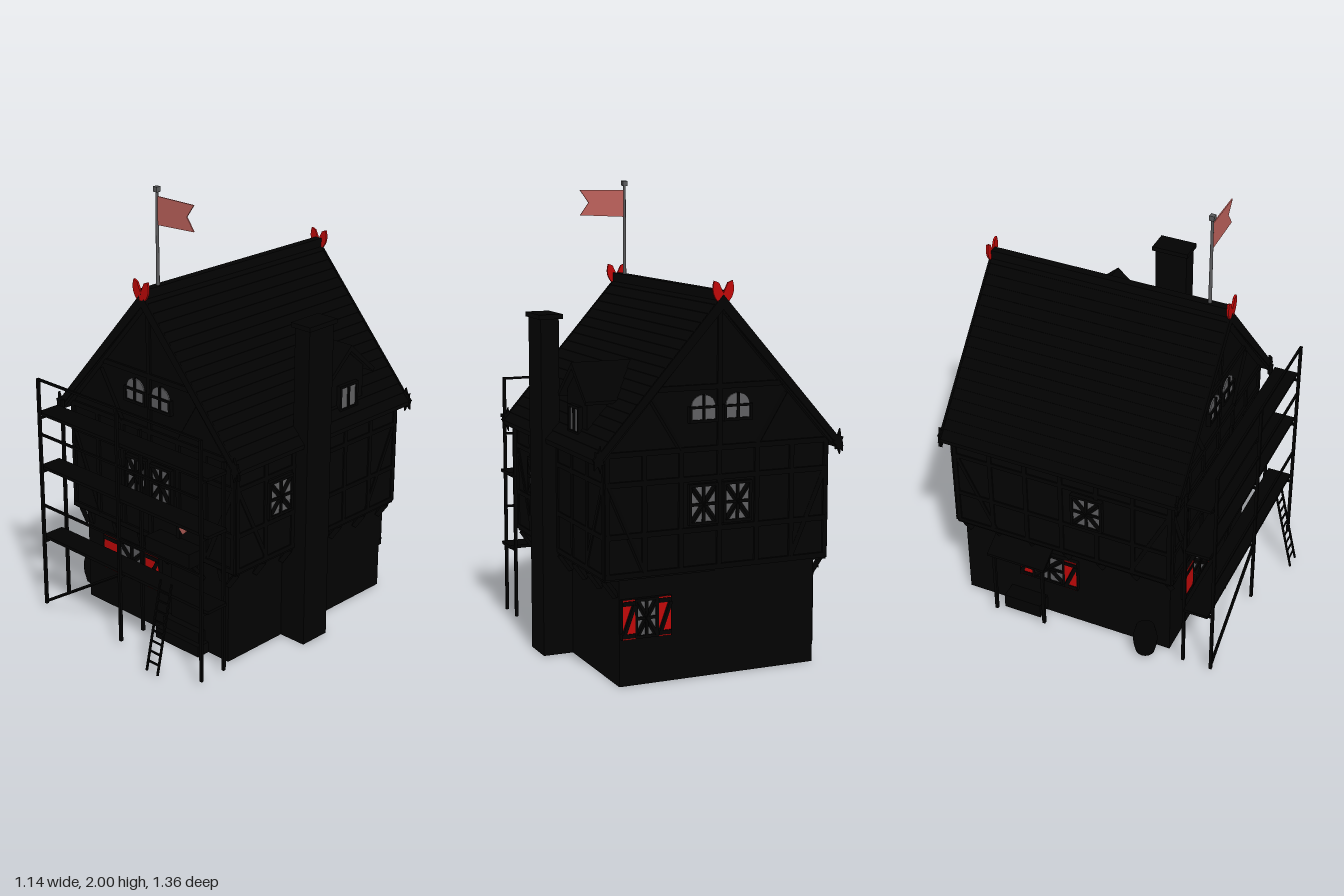
import * as THREE from 'three';

const mat = (name, color, side = THREE.FrontSide) => {
  const m = new THREE.MeshStandardMaterial({ color, side });
  m.name = name;
  return m;
};

export function createModel() {
  const wallM = mat('dark plaster', 0x020202, THREE.DoubleSide);
  const timber = mat('black timber', 0x010101);
  const roofM = mat('roof slate', 0x020202);
  const red = mat('red paint', 0xc00808);
  const glass = mat('grey glass', 0x606062);
  const cloth = mat('faded red cloth', 0xbe625c);
  const metal = mat('grey metal', 0x5a5a5c);
  const CX = -0.008, FRONT = 0.39, BACK = -0.645;

  const root = new THREE.Group();
  root.name = 'timberHouse';
  const group = (name, parent = root) => {
    const g = new THREE.Group();
    g.name = name;
    parent.add(g);
    return g;
  };
  const mesh = (name, geo, m, parent = root) => {
    const o = new THREE.Mesh(geo, m);
    o.name = name;
    parent.add(o);
    return o;
  };
  // box given by its minimum and maximum corners
  const box = (name, a, b, m, parent) => {
    const o = mesh(name, new THREE.BoxGeometry(b[0] - a[0], b[1] - a[1], b[2] - a[2]), m, parent);
    o.position.set((a[0] + b[0]) / 2, (a[1] + b[1]) / 2, (a[2] + b[2]) / 2);
    return o;
  };
  // square bar between two points
  const bar = (name, a, b, t, m, parent) => {
    const p = new THREE.Vector3(...a), q = new THREE.Vector3(...b);
    const o = mesh(name, new THREE.BoxGeometry(t, t, p.distanceTo(q)), m, parent);
    o.position.copy(p).add(q).multiplyScalar(0.5);
    o.quaternion.setFromUnitVectors(new THREE.Vector3(0, 0, 1), q.sub(p).normalize());
    return o;
  };
  const shapeOf = pts => new THREE.Shape(pts.map(p => new THREE.Vector2(...p)));
  const extrude = (shape, depth) => new THREE.ExtrudeGeometry(shape, { depth, bevelEnabled: false, curveSegments: 10 });

  // Ground floor, open underneath
  const g0 = new THREE.BoxGeometry(0.88, 0.44, 1.005);
  g0.setIndex([...g0.index.array].filter((_, i) => i < 18 || i >= 24));
  g0.clearGroups();
  mesh('groundFloor', g0, wallM).position.set(CX - 0.004, 0.22, -0.1375);

  // Upper floor and gables
  const upper = shapeOf([[-0.5, 0.44], [0.5, 0.44], [0.5, 0.97], [0, 1.535], [-0.5, 0.97]]);
  mesh('upperFloor', extrude(upper, FRONT - BACK), wallM).position.set(CX, 0, BACK);

  // Roof with finely stepped courses
  const half = [], N = 18, roofY = t => 1.563 - 0.626 * t;
  for (let i = 0; i < N; i++) {
    const t = i / N, u = (i + 1) / N;
    half.push([0.55 * t, roofY(t)], [0.55 * u + 0.002, roofY(u) + 0.003]);
  }
  half.push([0.55, 0.92], [0.52, 0.92]);
  const outline = [...half, [0, 1.51], ...half.slice(1).reverse().map(([x, y]) => [-x, y])];
  mesh('roof', extrude(shapeOf(outline), 1.1), roofM).position.set(CX, 0, -0.67);
  box('ridgeCap', [CX - 0.018, 1.545, -0.67], [CX + 0.018, 1.585, 0.43], roofM);

  // Barge boards, ridge horns and eave carvings
  const horn = new THREE.Shape();
  horn.moveTo(0, 1.54);
  horn.lineTo(0.022, 1.54);
  horn.quadraticCurveTo(0.058, 1.575, 0.04, 1.625);
  horn.lineTo(0.02, 1.617);
  horn.lineTo(0, 1.575);
  horn.lineTo(-0.02, 1.617);
  horn.lineTo(-0.04, 1.625);
  horn.quadraticCurveTo(-0.058, 1.575, -0.022, 1.54);
  const star = [];
  for (let i = 0; i < 14; i++) {
    const r = i % 2 ? 0.028 : 0.048 + 0.008 * Math.sin(i * 2), a = i * Math.PI / 7;
    star.push([0.55 * r * Math.cos(a), r * Math.sin(a)]);
  }
  for (const z of [0.43, -0.675]) {
    mesh('ridgeHorns', extrude(horn, 0.009), red).position.set(CX, 0, z - 0.004);
    for (const s of [-1, 1]) {
      const board = shapeOf([[0, 1.57], [s * 0.555, 0.94], [s * 0.555, 0.9], [0, 1.51]]);
      mesh('bargeBoard', extrude(board, 0.01), timber).position.set(CX, 0, z - 0.005);
      mesh('eaveCarving', extrude(shapeOf(star), 0.012), timber).position.set(CX + s * 0.535, 0.942, z - 0.006);
    }
  }

  // Flag on its pole
  mesh('flagPole', new THREE.CylinderGeometry(0.006, 0.008, 0.42, 10), metal).position.set(CX, 1.78, 0.335);
  box('poleCap', [CX - 0.011, 1.978, 0.324], [CX + 0.011, 2, 0.346], metal);
  const flag = shapeOf([[-0.005, 1.84], [0.205, 1.85], [0.165, 1.905], [0.205, 1.96], [-0.005, 1.96]]);
  mesh('flag', extrude(flag, 0.005), cloth).position.z = 0.3325;

  // Window facing +z, centred on its opening; braced lists the shutters with a diagonal
  function addWindow(x, y, z, turn, w, h, { arch, cross, tall, shutter = 0, braced = [], inner } = {}) {
    const g = group('window');
    g.position.set(x, y, z);
    g.rotation.y = turn;
    const pane = new THREE.Shape();
    const rise = arch ? h * 0.55 : h;
    pane.moveTo(-w / 2, -h / 2);
    pane.lineTo(w / 2, -h / 2);
    pane.lineTo(w / 2, -h / 2 + rise);
    if (arch) pane.absellipse(0, -h / 2 + rise, w / 2, h - rise, 0, Math.PI);
    else pane.lineTo(-w / 2, h / 2);
    mesh('pane', extrude(pane, 0.006), glass, g).position.z = 0.006;
    if (inner) mesh('innerPane', extrude(pane, 0.006), glass, g).position.z = -0.008;
    const d0 = inner ? -0.014 : 0, e = 0.012, t = cross ? 0.006 : 0.005;
    const f = (a, b) => box('windowBar', [...a, d0], [...b, 0.02], timber, g);
    f([-t, -h / 2], [t, h / 2]);
    if (!tall) f([-w / 2, -t], [w / 2, t]);
    f([-w / 2 - e, -h / 2 - e], [w / 2 + e, -h / 2]);
    if (!arch) f([-w / 2 - e, h / 2], [w / 2 + e, h / 2 + e]);
    for (const s of [-1, 1]) {
      f([s * (w / 2 + e / 2) - e / 2, -h / 2], [s * (w / 2 + e / 2) + e / 2, -h / 2 + rise]);
      if (cross) bar('lattice', [-w / 2, -s * h / 2, 0.012], [w / 2, s * h / 2, 0.012], 0.017, timber, g);
      if (shutter) {
        const c = s * (w / 2 + e + shutter / 2), k = shutter / 2, v = h / 2 + 0.012;
        box('shutterBoard', [c - k, -v, 0], [c + k, v, 0.0185], timber, g);
        box('shutterPaint', [c - k, -v, 0.0185], [c + k, v, 0.0205], red, g);
        const edge = c + s * k;
        box('shutterEdge', [edge - 0.002, -v, 0], [edge + 0.002, v, 0.022], timber, g);
        for (const by of [-0.067, 0.067])
          box('shutterBatten', [c - k, by - 0.009, 0.018], [c + k, by + 0.009, 0.025], timber, g);
        if (braced.includes(s))
          bar('shutterBrace', [c - k * 0.8, -0.06, 0.018], [c + k * 0.8, 0.06, 0.018], 0.018, timber, g);
      }
    }
  }
  for (const [z, turn] of [[FRONT, 0], [BACK, Math.PI]])
    for (const x of [-0.086, 0.067]) {
      addWindow(x, 1.12, z, turn, 0.105, 0.1, { arch: true });
      addWindow(x, 0.725, z, turn, 0.105, 0.145, { cross: true });
    }
  addWindow(-0.15, 0.28, 0.365, 0, 0.16, 0.145, { cross: true, shutter: 0.085, braced: [1], inner: true });
  addWindow(0.315, 0.28, -0.64, Math.PI, 0.08, 0.14, { cross: true, shutter: 0.055, braced: [-1, 1] });
  addWindow(-0.452, 0.28, -0.22, -Math.PI / 2, 0.14, 0.14, { cross: true, shutter: 0.06, braced: [-1, 1], inner: true });
  addWindow(0.492, 0.725, 0.131, Math.PI / 2, 0.125, 0.145, { cross: true });
  addWindow(-0.508, 0.725, 0, -Math.PI / 2, 0.125, 0.145, { cross: true });

  // Timber framing on the gable ends
  for (const z of [FRONT, BACK]) {
    const g = group('gableFraming');
    for (const y of [0.46, 0.62, 0.83, 0.95]) bar('rail', [CX - 0.5, y, z], [CX + 0.5, y, z], 0.022, timber, g);
    bar('collarBeam', [CX - 0.28, 1.2, z], [CX + 0.28, 1.2, z], 0.022, timber, g);
    bar('kingPost', [CX, 0.46, z], [CX, 1.5, z], 0.02, timber, g);
    for (const s of [-1, 1]) {
      for (const x of [0.49, 0.33, 0.17]) bar('stud', [CX + s * x, 0.46, z], [CX + s * x, 0.95, z], 0.02, timber, g);
      bar('brace', [CX + s * 0.33, 0.46, z], [CX + s * 0.49, 0.83, z], 0.018, timber, g);
      bar('gableBrace', [CX + s * 0.17, 0.95, z], [CX + s * 0.3, 1.16, z], 0.018, timber, g);
    }
  }
  // Timber framing along the side walls, with jetty brackets
  for (const s of [-1, 1]) {
    const g = group('sideFraming'), x = CX + s * 0.496;
    for (const y of [0.46, 0.62, 0.83]) bar('rail', [x, y, BACK], [x, y, FRONT], 0.02, timber, g);
    for (let i = 0; i <= 6; i++) {
      const z = BACK + 0.01 + i * (FRONT - BACK - 0.02) / 6;
      bar('stud', [x, 0.46, z], [x, 0.95, z], 0.02, timber, g);
      bar('bracket', [CX + s * 0.44, 0.37, z * 0.97], [CX + s * 0.49, 0.44, z * 0.97], 0.022, timber, g);
    }
    bar('brace', [x, 0.46, 0.2], [x, 0.83, 0.38], 0.018, timber, g);
    bar('brace', [x, 0.46, -0.45], [x, 0.83, -0.63], 0.018, timber, g);
  }
  for (let i = 0; i < 6; i++) {
    const x = -0.42 + i * 0.163;
    bar('frontBracket', [x, 0.38, 0.362], [x, 0.44, 0.378], 0.024, timber);
  }

  // Chimney
  box('chimneyBase', [0.41, 0, -0.12], [0.56, 0.98, 0.03], wallM);
  box('chimneyShaft', [0.48, 0.98, -0.12], [0.56, 1.45, 0.03], wallM);
  box('chimneyCap', [0.465, 1.442, -0.13], [0.57, 1.462, 0.04], wallM);

  // Dormer on the left slope
  const dormer = group('dormer');
  dormer.position.z = -0.313;
  dormer.rotation.y = Math.PI / 2;
  const face = shapeOf([[-0.11, 0.96], [0.11, 0.96], [0.11, 1.16], [0, 1.25], [-0.11, 1.16]]);
  mesh('dormerBody', extrude(face, 0.25), wallM, dormer).position.z = 0.225;
  const cap = shapeOf([[-0.16, 1.14], [-0.15, 1.125], [0, 1.255], [0.15, 1.125], [0.16, 1.14], [0, 1.283]]);
  mesh('dormerRoof', extrude(cap, 0.275), roofM, dormer).position.z = 0.225;
  addWindow(0.475, 1.047, -0.313, Math.PI / 2, 0.095, 0.095, { tall: true });

  // Front door, steps, balcony and shield
  box('frontDoor', [0.09, 0.05, 0.36], [0.27, 0.35, 0.372], timber);
  box('doorStep', [0.05, 0, 0.36], [0.31, 0.05, 0.43], wallM);
  box('doorStep', [0.07, 0.05, 0.36], [0.29, 0.1, 0.405], wallM);
  box('doorBalcony', [0.045, 0.44, 0.36], [0.31, 0.508, 0.48], timber);
  for (const x of [0.07, 0.285]) bar('balconyBrace', [x, 0.35, 0.37], [x, 0.45, 0.45], 0.016, timber);
  const shield = shapeOf([[0.178, 0.6], [0.178, 0.56], [0.2, 0.54], [0.222, 0.56], [0.222, 0.6]]);
  box('shieldBracket', [0.185, 0.56, 0.385], [0.215, 0.59, 0.404], timber);
  mesh('shield', extrude(shield, 0.005), cloth).position.z = 0.404;

  // Side awning, its posts and bench
  const awning = shapeOf([[-0.44, 0.44], [-0.575, 0.365], [-0.575, 0.353], [-0.44, 0.425]]);
  mesh('sideAwning', extrude(awning, 0.28), roofM).position.z = -0.47;
  for (const z of [-0.45, -0.21]) {
    bar('awningPost', [-0.55, 0.02, z], [-0.55, 0.36, z], 0.014, timber);
    bar('awningBrace', [-0.46, 0.36, z], [-0.55, 0.34, z], 0.012, timber);
  }
  box('sideBench', [-0.53, 0.02, -0.42], [-0.45, 0.09, -0.24], timber);

  // Barrel
  const staves = [[0, 0], [0.042, 0], [0.052, 0.04], [0.055, 0.07], [0.052, 0.1], [0.042, 0.14], [0, 0.14]];
  const barrel = new THREE.LatheGeometry(staves.map(p => new THREE.Vector2(...p)), 16);
  mesh('barrel', barrel, timber).position.set(-0.517, 0.02, 0.275);

  // Scaffold with three decks
  const sc = group('scaffold');
  for (const x of [-0.505, CX, 0.485]) {
    bar('outerPost', [x, 0.02, 0.584], [x, 1.11, 0.584], 0.013, timber, sc);
    bar('innerPost', [x, 0.02, 0.452], [x, 0.975, 0.452], 0.013, timber, sc);
    for (const y of [0.33, 0.67, 0.925]) bar('crossBearer', [x, y, 0.445], [x, y, 0.584], 0.01, timber, sc);
  }
  for (const y of [0.345, 0.685, 0.94]) {
    box('deck', [-0.53, y - 0.008, 0.46], [0.51, y + 0.006, 0.57], timber, sc);
    bar('guardRail', [-0.505, y + 0.165, 0.582], [0.485, y + 0.165, 0.582], 0.01, timber, sc);
  }
  bar('scaffoldBrace', [-0.505, 0.03, 0.582], [CX, 0.34, 0.582], 0.01, timber, sc);

  // Ladder
  const ladder = group('ladder');
  for (const x of [0.255, 0.32]) bar('ladderRail', [x, 0.02, 0.68], [x, 0.415, 0.592], 0.008, timber, ladder);
  for (let i = 1; i < 9; i++) {
    const y = 0.02 + 0.044 * i, z = 0.68 - 0.0098 * i;
    bar('rung', [0.255, y, z], [0.32, y, z], 0.007, timber, ladder);
  }
  return root;
}
